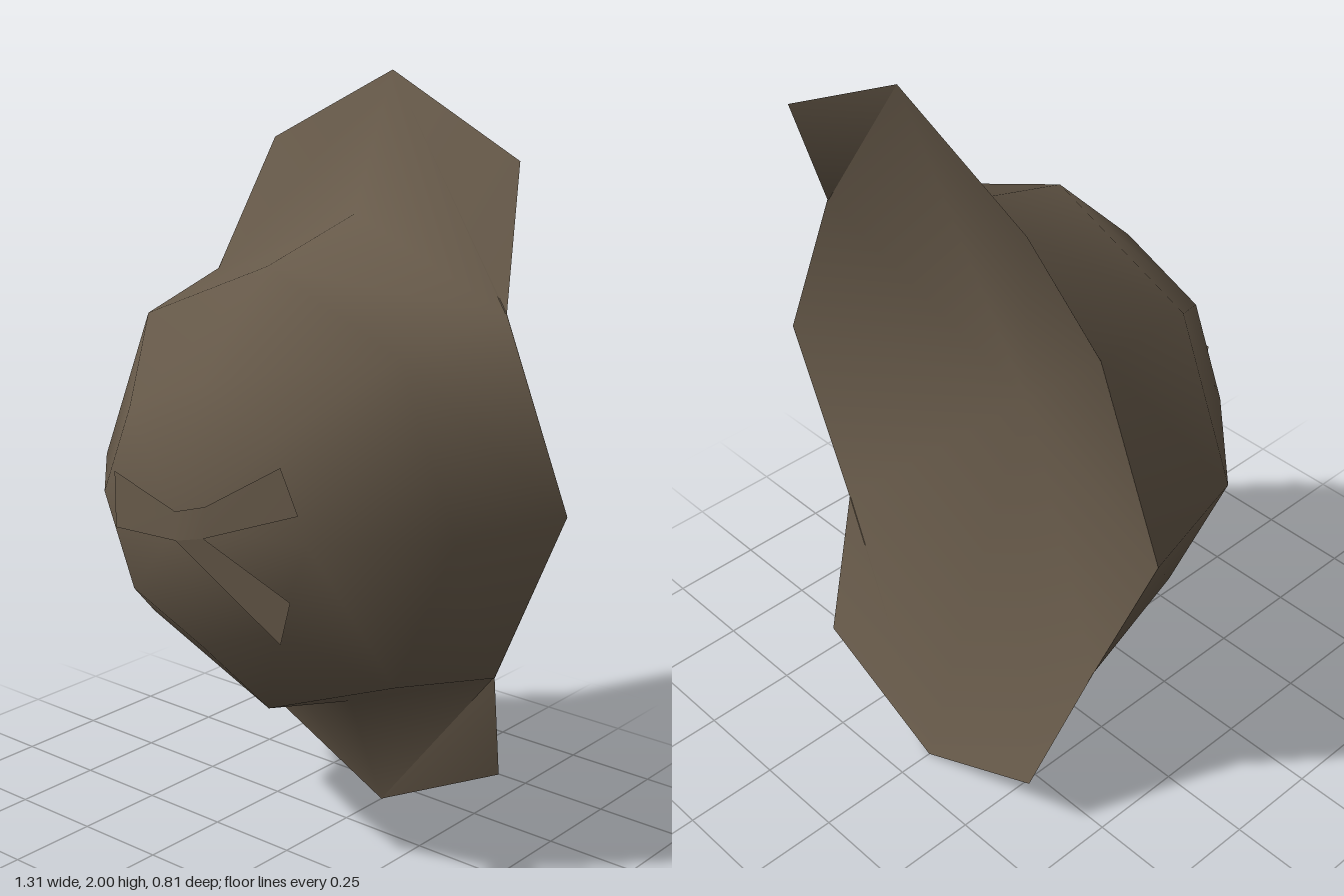
import * as THREE from 'three';

const brown = new THREE.MeshStandardMaterial({ color: 0x665949, side: THREE.DoubleSide });
brown.name = 'dull brown';

function surface(name, points, faces) {
  const geometry = new THREE.BufferGeometry();
  geometry.setAttribute('position', new THREE.Float32BufferAttribute(points.flat(), 3));
  geometry.setIndex(faces.flat());
  geometry.computeVertexNormals();
  const mesh = new THREE.Mesh(geometry, brown);
  mesh.name = name;
  return mesh;
}

// Eight-sided dome with a flared flap at the top and bottom, one smooth skin
function buildShell() {
  const rings = [[0.657, -0.26], [0.57, 0.07], [0.33, 0.31]]; // radius, z
  const points = [];
  const faces = [];
  for (const [r, z] of rings) {
    for (let i = 0; i < 8; i++) {
      const a = i * Math.PI / 4;
      points.push([r * Math.cos(a), 1 + r * Math.sin(a), z]);
    }
  }
  const apex = points.push([0, 1, 0.39]) - 1;
  for (let i = 0; i < 8; i++) {
    const j = (i + 1) % 8;
    for (let k = 0; k < 16; k += 8) {
      faces.push([k + i, k + j, k + 8 + j], [k + i, k + 8 + j, k + 8 + i]);
    }
    faces.push([16 + i, 16 + j, apex]);
  }
  // Flaps grow from three neighbouring rim corners each
  for (const [side, first] of [[1, 1], [-1, 5]]) {
    const n = points.length;
    points.push([0.39 * side, 1 + 0.805 * side, -0.405], [0, 1 + side, -0.405],
      [-0.39 * side, 1 + 0.805 * side, -0.405]);
    faces.push([first, n, n + 1], [first, n + 1, first + 1], [first + 1, n + 1, first + 2]);
    // The lower left corner is closed by the back alone
    if (side > 0) faces.push([n + 1, n + 2, first + 2]);
  }
  return surface('shell', points, faces);
}

// Shallow hollow of the back, a fan from the flap tips and rim to a sunken centre
function buildBack() {
  const points = [
    [0, 2, -0.405], [-0.39, 1.805, -0.405], [-0.465, 1.465, -0.26], [-0.657, 1, -0.26],
    [-0.465, 0.535, -0.26], [-0.39, 0.195, -0.405], [0, 0, -0.405],
    [0.465, 0.535, -0.26], [0.657, 1, -0.26], [0.465, 1.465, -0.26],
    [0, 1, -0.04], [0.39, 0.195, -0.405],
  ];
  const faces = [[7, 11, 6]];
  for (let i = 0; i < 10; i++) faces.push([10, (i + 1) % 10, i]);
  return surface('hollowBack', points, faces);
}

// Three thin arms meeting just in front of the dome's tip
function buildEmblem() {
  const emblem = new THREE.Group();
  emblem.name = 'threeArmedStrip';
  emblem.add(
    surface('rightAndUpperArm', [
      [-0.235, 0.94, 0.365], [0, 0.965, 0.4], [0, 1.037, 0.4], [-0.235, 1.083, 0.365],
      [0.075, 0.982, 0.384], [0.31, 1.07, 0.32], [0.27, 1.18, 0.335], [0.08, 1.06, 0.382],
    ], [[0, 1, 2], [0, 2, 3], [1, 4, 7], [1, 7, 2], [4, 5, 6], [4, 6, 7]]),
    surface('lowerArm', [
      [0, 0.965, 0.4], [0.25, 0.74, 0.312], [0.285, 0.855, 0.318], [0.075, 0.982, 0.384],
    ], [[0, 1, 2], [0, 2, 3]]),
  );
  return emblem;
}

export function createModel() {
  const model = new THREE.Group();
  model.name = 'flappedDome';
  model.add(buildShell(), buildBack(), buildEmblem());
  return model;
}
